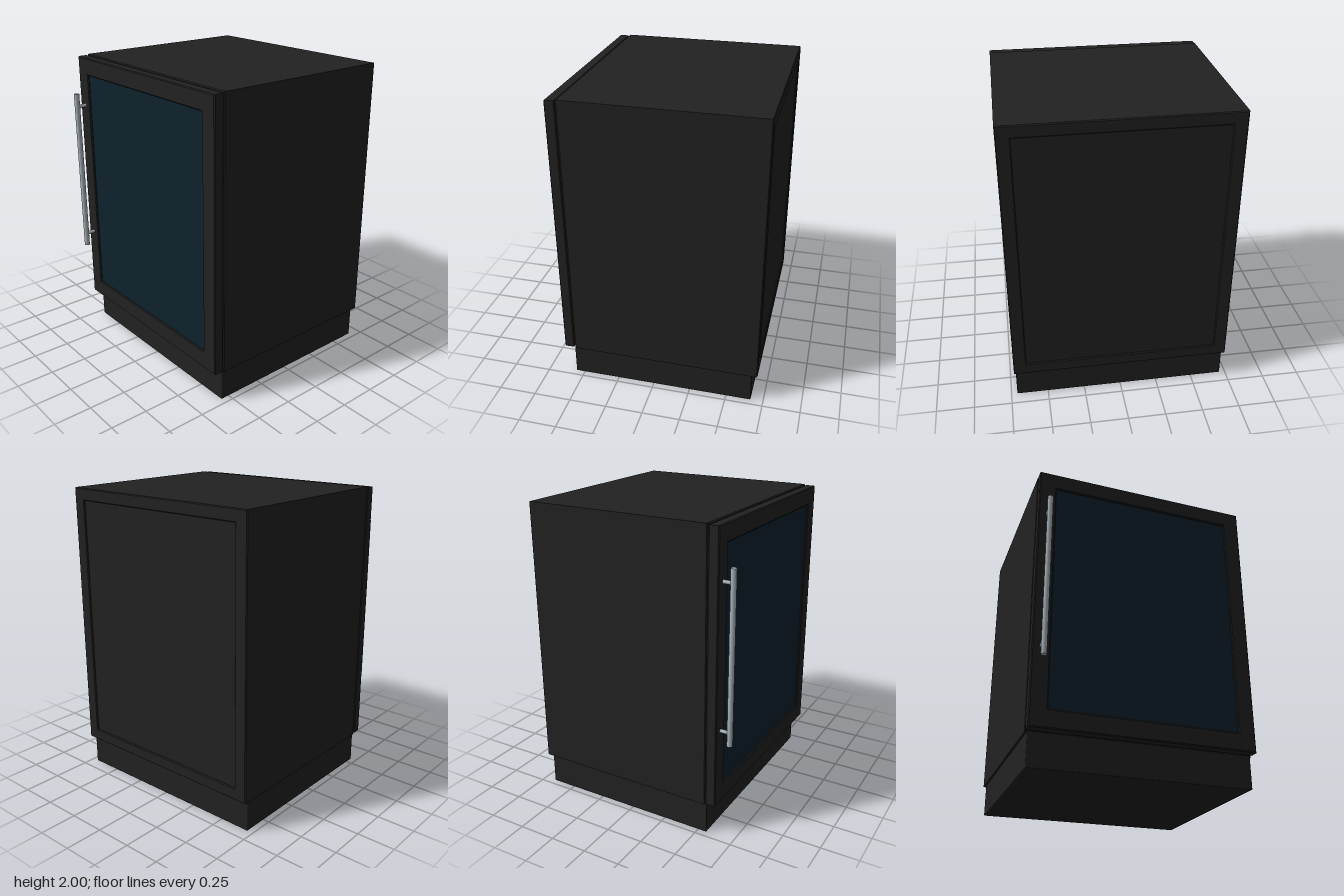
import * as THREE from 'three';
import { RoundedBoxGeometry } from 'three/addons/geometries/RoundedBoxGeometry.js';

const material = (name, color) => {
  const m = new THREE.MeshStandardMaterial({ color });
  m.name = name;
  return m;
};

export function createModel() {
  const group = new THREE.Group();
  const black = material('black', 0x222222);
  const glass = material('dark blue glass', 0x0d222d);
  const steel = material('steel', 0xa9b4bb);

  const add = (name, geometry, mat, x = 0, y = 0, z = 0) => {
    const mesh = new THREE.Mesh(geometry, mat);
    mesh.name = name;
    mesh.position.set(x, y, z);
    group.add(mesh);
    return mesh;
  };

  // Box given by half width, y range and z range, with softened edges
  const block = (name, w, y0, y1, z0, z1, mat, r = 0.006) =>
    add(name, new RoundedBoxGeometry(w * 2, y1 - y0, z1 - z0, 2, r), mat, 0, (y0 + y1) / 2, (z0 + z1) / 2);

  // Rectangular frame with a rectangular opening and bevelled edges
  const trace = (path, w, y0, y1) => {
    path.moveTo(-w, y0);
    path.lineTo(w, y0);
    path.lineTo(w, y1);
    path.lineTo(-w, y1);
    path.closePath();
    return path;
  };
  const frame = (name, w, y0, y1, hw, hy0, hy1, z0, z1) => {
    const b = 0.006;
    const shape = trace(new THREE.Shape(), w, y0, y1);
    shape.holes.push(trace(new THREE.Path(), hw, hy0, hy1));
    const geometry = new THREE.ExtrudeGeometry(shape, {
      depth: z1 - z0 - 2 * b, bevelThickness: b, bevelSize: b, bevelOffset: -b, bevelSegments: 1,
    });
    add(name, geometry, black, 0, 0, z0 + b);
  };

  // Plinth and cabinet, with a slightly sunken back panel
  block('plinth', 0.71, 0, 0.214, -0.667, 0.56, black);
  frame('cabinet', 0.722, 0.21, 2, 0.636, 0.29, 1.92, -0.705, 0.553);
  block('backPanel', 0.64, 0.286, 1.924, -0.695, -0.65, black, 0.001);

  // Door with its seal and recessed window
  block('doorSeal', 0.712, 0.228, 1.984, 0.53, 0.575, black, 0.002);
  frame('doorFrame', 0.722, 0.217, 1.994, 0.61, 0.335, 1.88, 0.557, 0.625);
  add('window', new THREE.BoxGeometry(1.225, 1.55, 0.008), glass, 0, 1.1075, 0.609);

  // Vertical bar handle on two posts
  const hx = -0.664, hz = 0.689;
  add('handleBar', new THREE.CylinderGeometry(0.018, 0.018, 1.115, 24), steel, hx, 1.197, hz);
  for (const y of [0.727, 1.667]) {
    const post = add('handlePost', new THREE.CylinderGeometry(0.012, 0.012, 0.07, 16), steel, hx, y, 0.654);
    post.rotation.x = Math.PI / 2;
  }

  return group;
}
